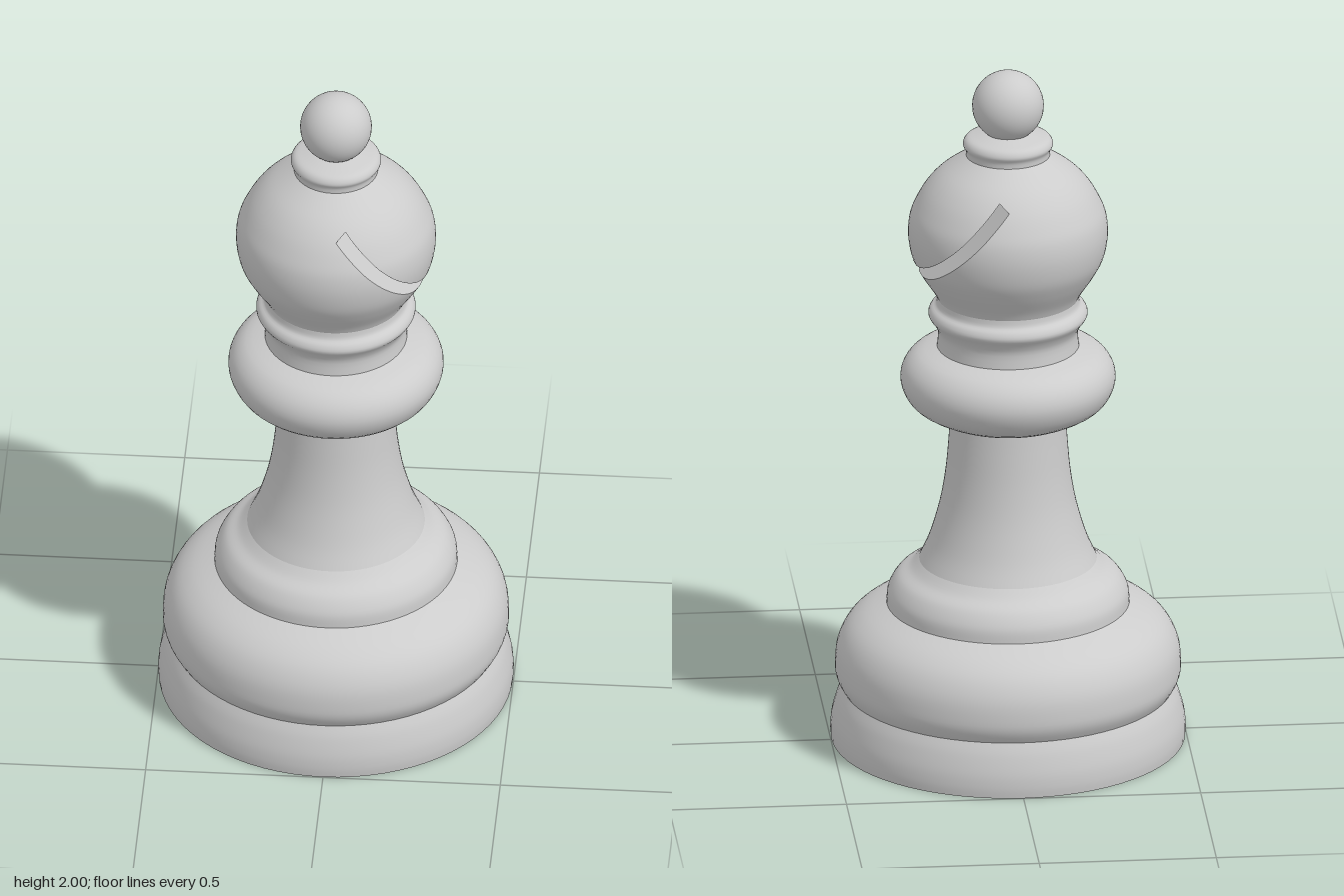
import * as THREE from 'three';

const SEGMENTS = 72;

// Smooth curve through [radius, height] points
function smoothProfile(points, steps) {
  return new THREE.SplineCurve(points.map(([r, y]) => new THREE.Vector2(r, y))).getPoints(steps);
}

// Slot in the head: a slab across the z axis, open towards +x
const ACROSS = new THREE.Vector3(0.735, 0.678, 0).normalize();
const ALONG = new THREE.Vector3(0.678, -0.735, 0).normalize();
const SLOT_LOW = 1.138, SLOT_HIGH = 1.172, SLOT_START = -1.209;

// Keep the part of a polygon where dir . p * sign >= limit * sign
function clip(poly, dir, limit, sign) {
  const out = [];
  poly.forEach((a, i) => {
    const b = poly[(i + 1) % poly.length];
    const da = (a.p.dot(dir) - limit) * sign, db = (b.p.dot(dir) - limit) * sign;
    if (da >= 0) out.push(a);
    if (da * db < 0) {
      const t = da / (da - db);
      out.push({ p: a.p.clone().lerp(b.p, t), n: a.n.clone().lerp(b.n, t).normalize() });
    }
  });
  return out;
}

// Lathed surface with the slot cut out of it
function cutSlot(lathe) {
  const flat = lathe.toNonIndexed();
  const pos = flat.attributes.position, nor = flat.attributes.normal;
  const positions = [], normals = [];
  const add = (poly) => {
    for (let i = 1; i + 1 < poly.length; i++) {
      for (const v of [poly[0], poly[i], poly[i + 1]]) {
        positions.push(v.p.x, v.p.y, v.p.z);
        normals.push(v.n.x, v.n.y, v.n.z);
      }
    }
  };
  for (let i = 0; i < pos.count; i += 3) {
    const tri = [0, 1, 2].map((k) => ({
      p: new THREE.Vector3().fromBufferAttribute(pos, i + k),
      n: new THREE.Vector3().fromBufferAttribute(nor, i + k),
    }));
    add(clip(tri, ACROSS, SLOT_HIGH, 1));
    const below = clip(tri, ACROSS, SLOT_HIGH, -1);
    add(clip(below, ACROSS, SLOT_LOW, -1));
    add(clip(clip(below, ACROSS, SLOT_LOW, 1), ALONG, SLOT_START, -1));
  }
  const g = new THREE.BufferGeometry();
  g.setAttribute('position', new THREE.Float32BufferAttribute(positions, 3));
  g.setAttribute('normal', new THREE.Float32BufferAttribute(normals, 3));
  return g;
}

// Strip spanning the head from -z to +z at each [across, along] station
function slotWall(stations, profile) {
  const positions = [], index = [];
  stations.forEach(([a, t], i) => {
    const p = ACROSS.clone().multiplyScalar(a).addScaledVector(ALONG, t);
    const k = profile.findIndex((q) => q.y >= p.y);
    let r = 0;
    if (k > 0) {
      const q0 = profile[k - 1], q1 = profile[k];
      r = THREE.MathUtils.mapLinear(p.y, q0.y, q1.y, q0.x, q1.x);
    }
    const z = Math.sqrt(Math.max(0, r * r - p.x * p.x));
    positions.push(p.x, p.y, -z, p.x, p.y, z);
    if (i > 0) index.push(2 * i - 2, 2 * i - 1, 2 * i, 2 * i, 2 * i - 1, 2 * i + 1);
  });
  const g = new THREE.BufferGeometry();
  g.setAttribute('position', new THREE.Float32BufferAttribute(positions, 3));
  g.setIndex(index);
  g.computeVertexNormals();
  return g;
}

export function createModel() {
  const group = new THREE.Group();
  const stone = new THREE.MeshStandardMaterial({ color: 0xcccccc, side: THREE.DoubleSide });
  stone.name = 'pale grey';

  const add = (name, geometry) => {
    const mesh = new THREE.Mesh(geometry, stone);
    mesh.name = name;
    group.add(mesh);
    return mesh;
  };

  // Turned parts from bottom to top, meeting at creases
  const turned = {
    foot: [[0.498, 0], [0.5, 0.03], [0.496, 0.07], [0.482, 0.12], [0.466, 0.155]],
    base: [[0.466, 0.155], [0.482, 0.185], [0.487, 0.22], [0.48, 0.28], [0.452, 0.335],
      [0.405, 0.375], [0.342, 0.405]],
    shoulder: [[0.342, 0.405], [0.337, 0.445], [0.312, 0.485], [0.275, 0.51], [0.25, 0.535]],
    stem: [[0.25, 0.535], [0.222, 0.6], [0.193, 0.7], [0.176, 0.8], [0.167, 0.9], [0.163, 0.965]],
    collar: [[0.16, 0.96], [0.215, 0.978], [0.275, 1.015], [0.302, 1.07], [0.294, 1.12],
      [0.258, 1.158], [0.2, 1.178]],
    neck: [[0.2, 1.175], [0.197, 1.22], [0.208, 1.248], [0.224, 1.272], [0.218, 1.292],
      [0.203, 1.305], [0.199, 1.325]],
    crownRing: [[0.118, 1.75], [0.119, 1.768], [0.127, 1.785], [0.117, 1.803], [0.09, 1.812], [0.05, 1.822]],
  };
  for (const [name, points] of Object.entries(turned)) {
    add(name, new THREE.LatheGeometry(smoothProfile(points, 20), SEGMENTS));
  }

  // Flat underside
  add('underside', new THREE.CircleGeometry(0.498, SEGMENTS)).rotation.x = Math.PI / 2;

  // Rounded head with its slot
  const profile = smoothProfile([[0.199, 1.325], [0.212, 1.35], [0.245, 1.4], [0.27, 1.45], [0.281, 1.51],
    [0.277, 1.565], [0.26, 1.61], [0.23, 1.66], [0.187, 1.705], [0.118, 1.752]], 48);
  add('head', cutSlot(new THREE.LatheGeometry(profile, SEGMENTS)));

  // Inner faces of the slot
  for (const [name, a] of [['slotLowerFace', SLOT_LOW], ['slotUpperFace', SLOT_HIGH]]) {
    const stations = [];
    for (let i = 0; i <= 60; i++) {
      // closer stations near the outer end, where the face narrows quickly
      const s = 1 - (1 - i / 60) ** 2;
      stations.push([a, SLOT_START + 0.36 * s]);
    }
    add(name, slotWall(stations, profile));
  }
  const end = [0, 0.25, 0.5, 0.75, 1].map((s) => [THREE.MathUtils.lerp(SLOT_LOW, SLOT_HIGH, s), SLOT_START]);
  add('slotEnd', slotWall(end, profile));

  // Ball on top
  add('finial', new THREE.SphereGeometry(0.101, 40, 28)).position.y = 1.899;

  return group;
}
